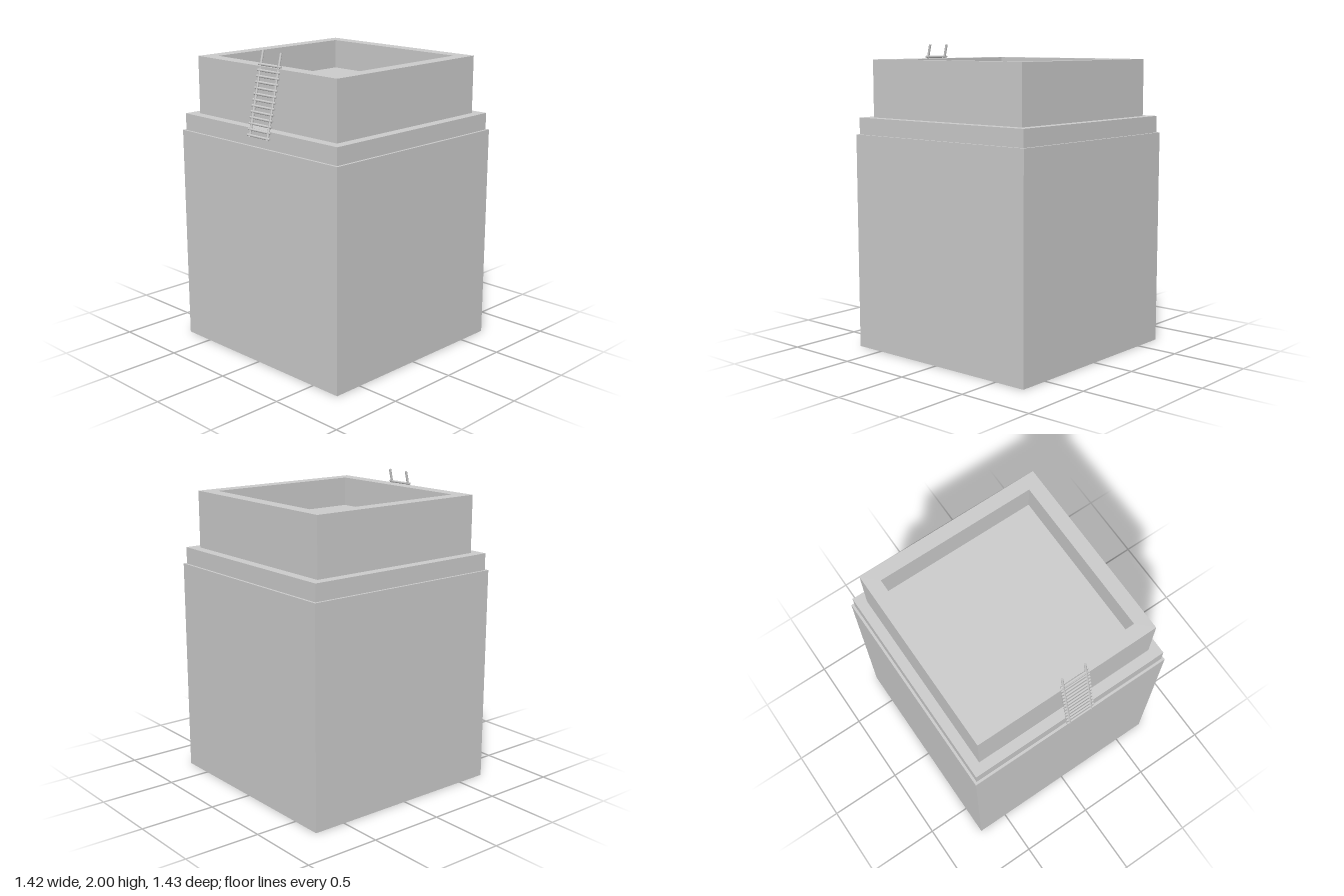
import * as THREE from 'three';

const solid = new THREE.MeshStandardMaterial({ color: 0xcccccc });
const shell = new THREE.MeshStandardMaterial({ color: 0xcccccc, side: THREE.DoubleSide });
const CZ = -0.01; // the tower sits slightly behind the ladder

function add(parent, name, geometry, material = solid) {
  const mesh = new THREE.Mesh(geometry, material);
  mesh.name = name;
  parent.add(mesh);
  return mesh;
}

// Thin-walled box with no underside
function openBox(width, y0, y1) {
  const geo = new THREE.BoxGeometry(width, y1 - y0, width);
  const index = Array.from(geo.index.array);
  index.splice(18, 6); // drop the bottom face
  geo.setIndex(index);
  geo.clearGroups();
  return geo.translate(0, (y0 + y1) / 2, CZ);
}

// Cylinder running between two points
function rod(a, b, radius) {
  const dir = b.clone().sub(a);
  const geo = new THREE.CylinderGeometry(radius, radius, dir.length(), 8);
  geo.applyQuaternion(new THREE.Quaternion().setFromUnitVectors(new THREE.Vector3(0, 1, 0), dir.normalize()));
  return geo.translate(...a.clone().add(b).multiplyScalar(0.5).toArray());
}

function square(target, half) {
  target.moveTo(-half, -half).lineTo(half, -half).lineTo(half, half).lineTo(-half, half).closePath();
  return target;
}

export function createModel() {
  const model = new THREE.Group();
  model.name = 'rooftopTower';

  // Stepped body, hollow from below
  add(model, 'mainBlock', openBox(1.416, 0, 1.42), shell);
  add(model, 'steppedBlock', openBox(1.384, 0.14, 1.53), shell);

  // Parapet ring around the sunken roof
  const ring = square(new THREE.Shape(), 0.626);
  ring.holes.push(square(new THREE.Path(), 0.534));
  const parapet = new THREE.ExtrudeGeometry(ring, { depth: 0.375, bevelEnabled: false });
  parapet.rotateX(-Math.PI / 2).translate(0, 1.53, CZ);
  add(model, 'parapet', parapet);

  const floor = new THREE.PlaneGeometry(1.068, 1.068);
  floor.rotateX(-Math.PI / 2).translate(0, 1.71, CZ);
  add(model, 'roofFloor', floor, shell);

  // Ladder leaning on the parapet
  const ladder = new THREE.Group();
  ladder.name = 'ladder';
  model.add(ladder);
  const bottom = { y: 1.48, z: 0.709 }, top = { y: 1.998, z: 0.587 };
  for (const x of [-0.031, 0.129]) {
    add(ladder, 'rail', rod(new THREE.Vector3(x, bottom.y, bottom.z), new THREE.Vector3(x, top.y, top.z), 0.008));
  }
  const rungs = 13;
  for (let i = 0; i < rungs; i++) {
    const y = 1.491 + (i * 0.424) / (rungs - 1);
    const z = THREE.MathUtils.mapLinear(y, bottom.y, top.y, bottom.z, top.z);
    add(ladder, 'rung', rod(new THREE.Vector3(-0.051, y, z), new THREE.Vector3(0.149, y, z), 0.008));
  }
  return model;
}
